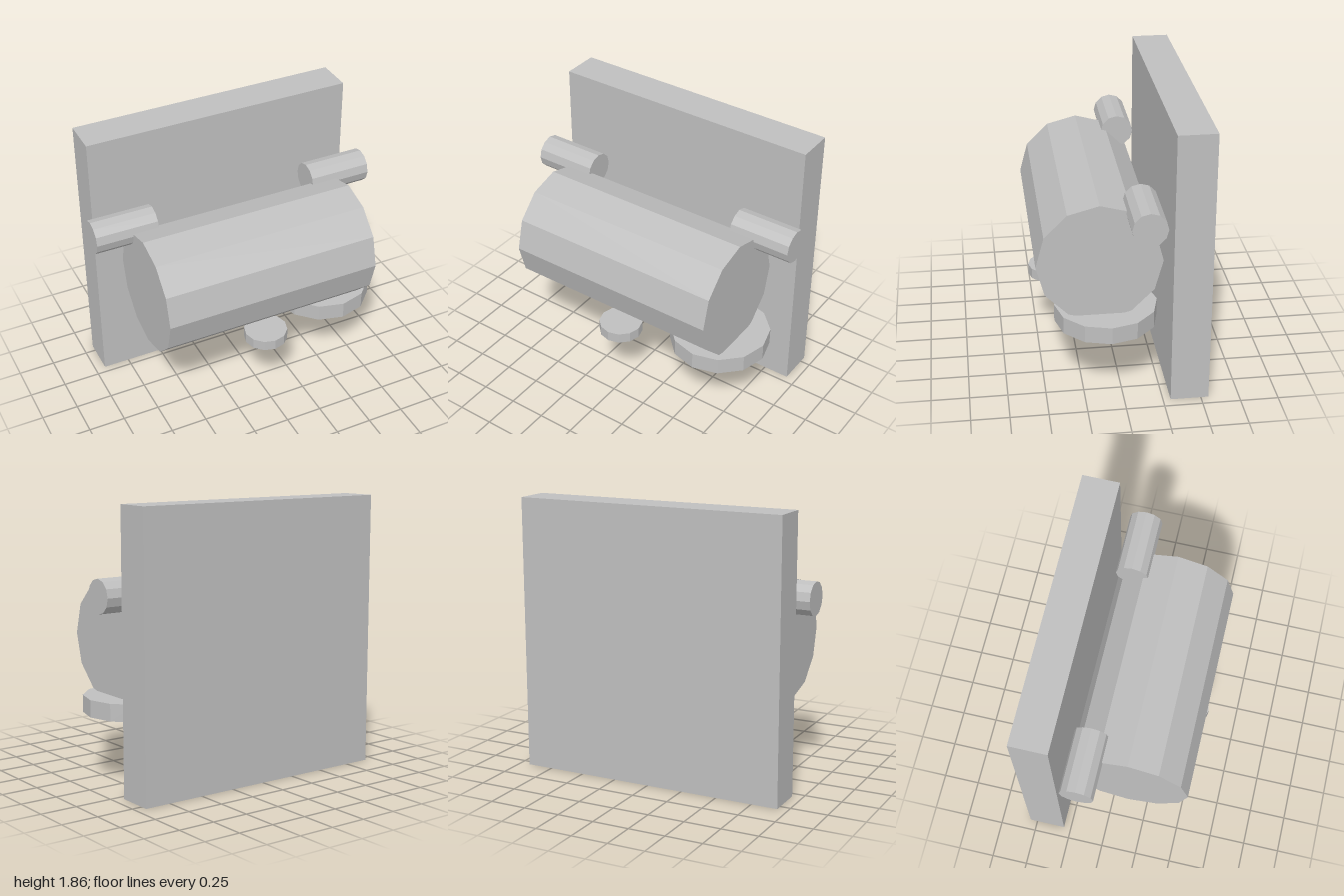
import * as THREE from 'three';

export function createModel() {
  const model = new THREE.Group();
  const grey = new THREE.MeshStandardMaterial({ color: 0xbfbfbf, flatShading: true });
  grey.name = 'plain grey';

  function add(name, geometry, x, y, z) {
    const mesh = new THREE.Mesh(geometry, grey);
    mesh.name = name;
    mesh.position.set(x, y, z);
    model.add(mesh);
    return mesh;
  }
  const disc = (radius, length) => new THREE.CylinderGeometry(radius, radius, length, 12);
  const barrel = (radius, length) => disc(radius, length).rotateZ(Math.PI / 2);

  // Upright slab at the back
  add('backPlate', new THREE.BoxGeometry(1.86, 1.86, 0.25), 0, 0.93, -0.425);

  // Large horizontal drum with a narrow strip just showing beneath it
  add('drum', barrel(0.406, 1.5), 0, 0.935, 0.14);
  add('underStrip', new THREE.BoxGeometry(1.26, 0.04, 0.2), 0, 0.54, 0.14);

  // Pegs at both ends, above and behind the drum
  for (const [side, name] of [[1, 'leftPeg'], [-1, 'rightPeg']]) {
    add(name, barrel(0.113, 0.43), side * 0.785, 1.28, -0.138);
  }

  // Flat discs under the drum
  add('largeDisc', disc(0.338, 0.116), 0.595, 0.513, 0.085);
  add('smallDisc', disc(0.147, 0.072), 0, 0.522, 0.403);

  return model;
}
